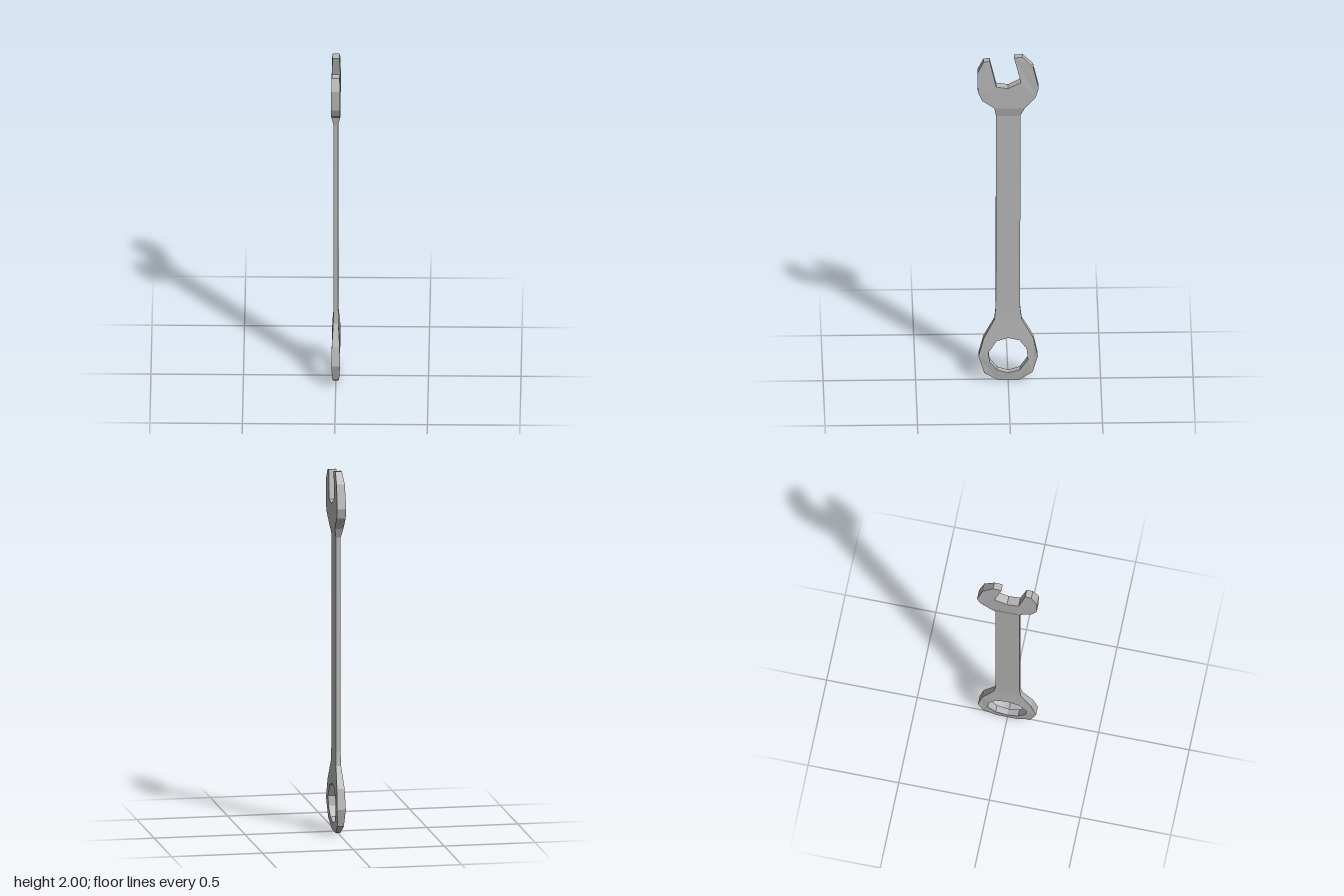
import * as THREE from 'three';

// Half thickness along the tool: [height, half thickness]
const THICKNESS = [
  [0, 0.012], [0.05, 0.018], [0.155, 0.024], [0.265, 0.021], [0.375, 0.014], [0.45, 0.013],
  [1.635, 0.013], [1.687, 0.024], [1.81, 0.025], [1.91, 0.024], [1.975, 0.021], [2, 0.018],
];

function halfThickness(y) {
  for (let i = 1; i < THICKNESS.length; i++) {
    const [y0, t0] = THICKNESS[i - 1];
    const [y1, t1] = THICKNESS[i];
    if (y <= y1) return THREE.MathUtils.mapLinear(y, y0, y1, t0, t1);
  }
  return THICKNESS[THICKNESS.length - 1][1];
}

const toPoints = (list) => list.map(([a, b]) => new THREE.Vector2(a, b));

// Extrudes a side outline (-z, y) across x, then tapers its thickness by height
function taperedPlate(name, outline, material, hole) {
  const shape = new THREE.Shape(toPoints(outline));
  if (hole) shape.holes.push(new THREE.Path(toPoints(hole)));
  const geometry = new THREE.ExtrudeGeometry(shape, { depth: 1, bevelEnabled: false });
  geometry.rotateY(Math.PI / 2);
  const pos = geometry.attributes.position;
  for (let i = 0; i < pos.count; i++) {
    const side = pos.getX(i) > 0.5 ? 1 : -1;
    pos.setX(i, side * halfThickness(pos.getY(i)));
  }
  geometry.computeVertexNormals();
  const mesh = new THREE.Mesh(geometry, material);
  mesh.name = name;
  return mesh;
}

export function createModel() {
  const steel = new THREE.MeshStandardMaterial({ color: 0xb8b8b8 });
  steel.name = 'steel';
  const group = new THREE.Group();
  group.name = 'combinationWrench';

  // Open jaw, tilted towards the front
  group.add(taperedPlate('openJaw', [
    [-0.074, 1.687], [0.09, 1.687], [0.15, 1.756], [0.165, 1.81], [0.135, 1.94],
    [0.078, 2], [0.032, 1.995], [0.069, 1.846], [0, 1.81], [-0.064, 1.82],
    [-0.1, 1.977], [-0.133, 1.972], [-0.166, 1.905], [-0.164, 1.788], [-0.14, 1.735],
  ], steel));

  // Necks and shank
  group.add(taperedPlate('upperNeck',
    [[-0.066, 1.635], [0.066, 1.635], [0.09, 1.687], [-0.074, 1.687]], steel));
  group.add(taperedPlate('shank',
    [[-0.067, 0.45], [0.065, 0.45], [0.066, 1.635], [-0.066, 1.635]], steel));
  group.add(taperedPlate('lowerNeck',
    [[-0.074, 0.375], [0.074, 0.375], [0.065, 0.45], [-0.067, 0.45]], steel));

  // Closed ring with a faceted hole
  const hole = [
    [0, 0.265], [0.062, 0.25], [0.1, 0.198], [0.107, 0.13], [0.064, 0.067],
    [0, 0.048], [-0.06, 0.067], [-0.1, 0.12], [-0.107, 0.175], [-0.064, 0.245],
  ];
  group.add(taperedPlate('ringEnd', [
    [-0.055, 0], [0.058, 0], [0.133, 0.053], [0.16, 0.15], [0.138, 0.26],
    [0.074, 0.375], [-0.074, 0.375], [-0.133, 0.26], [-0.16, 0.155], [-0.13, 0.05],
  ], steel, hole));

  return group;
}
